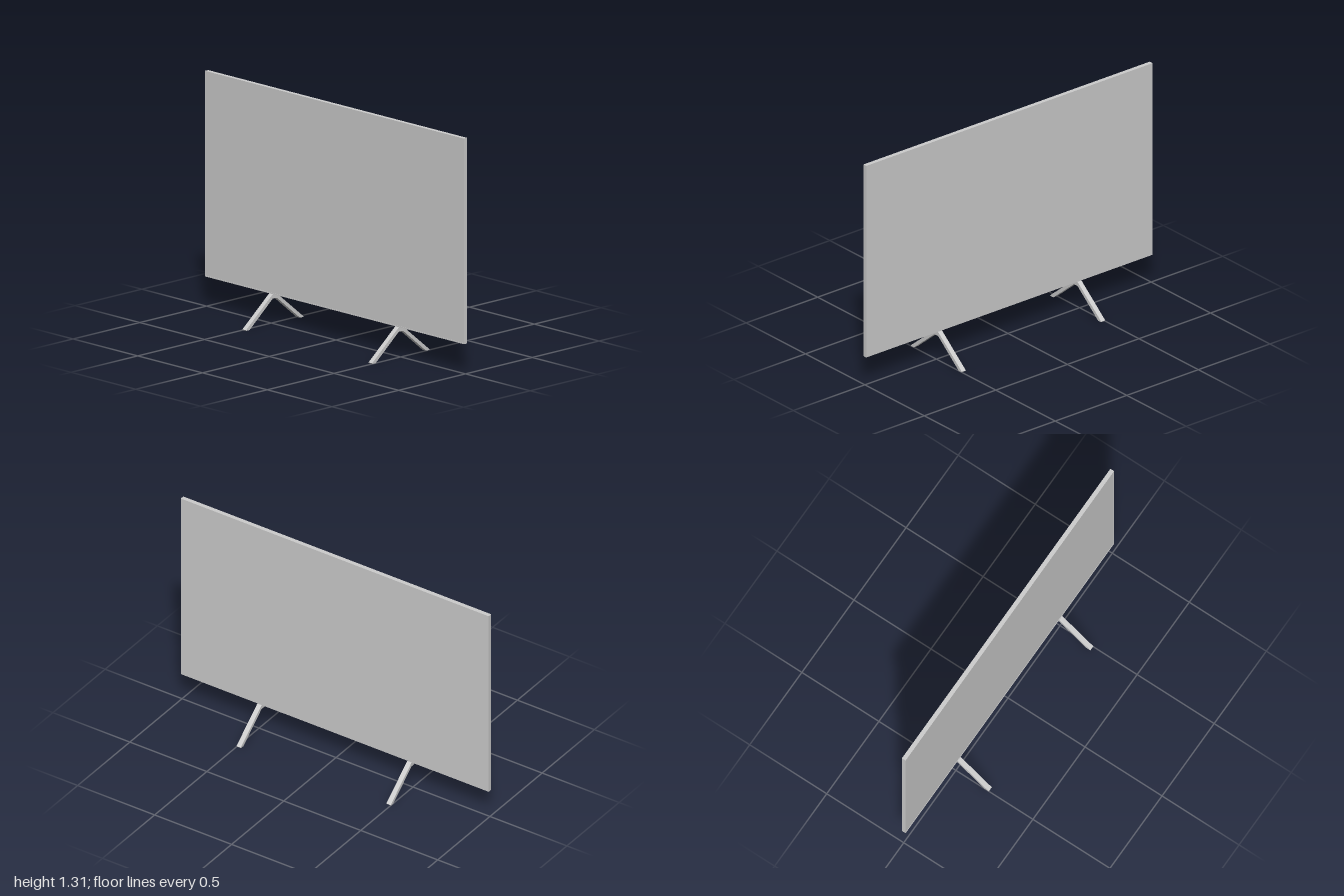
import * as THREE from 'three';

const material = new THREE.MeshStandardMaterial({ color: 0xcccccc, flatShading: true });

function addMesh(parent, name, geometry, x = 0, y = 0, z = 0) {
  const mesh = new THREE.Mesh(geometry, material);
  mesh.name = name;
  mesh.position.set(x, y, z);
  parent.add(mesh);
  return mesh;
}

function rectPoints(w, h) {
  return [[-w, -h], [w, -h], [w, h], [-w, h]].map(([x, y]) => new THREE.Vector2(x / 2, y / 2));
}

export function createModel() {
  const group = new THREE.Group();
  group.name = 'television';

  const width = 2, bottom = 0.167, top = 1.31, depth = 0.024;
  const height = top - bottom, midY = (top + bottom) / 2;
  const rim = 0.006, recess = 0.002;

  // Thin frame around the panel
  const frame = new THREE.Shape(rectPoints(width, height));
  frame.holes.push(new THREE.Path(rectPoints(width - 2 * rim, height - 2 * rim)));
  addMesh(group, 'frame',
    new THREE.ExtrudeGeometry(frame, { depth, bevelEnabled: false }), 0, midY, -depth / 2);

  // Screen, slightly recessed at the front and flush at the back
  addMesh(group, 'screenPanel',
    new THREE.BoxGeometry(width - 2 * rim, height - 2 * rim, depth - recess), 0, midY, -recess / 2);

  // Splayed feet: an inverted V profile in z and y, extruded along x
  const half = [[0.016, bottom], [0.215, 0.004], [0.213, 0], [0.189, 0], [0.016, 0.143]];
  const mirrored = half.map(([z, y]) => [-z, y]).reverse();
  const profile = new THREE.Shape([...half, ...mirrored].map(([z, y]) => new THREE.Vector2(z, y)));
  const legWidth = 0.028;
  const legGeometry = new THREE.ExtrudeGeometry(profile, { depth: legWidth, bevelEnabled: false });
  legGeometry.translate(0, 0, -legWidth / 2);
  legGeometry.rotateY(Math.PI / 2);
  for (const [name, side] of [['leftStand', 1], ['rightStand', -1]]) {
    addMesh(group, name, legGeometry, side * 0.487);
  }

  return group;
}
